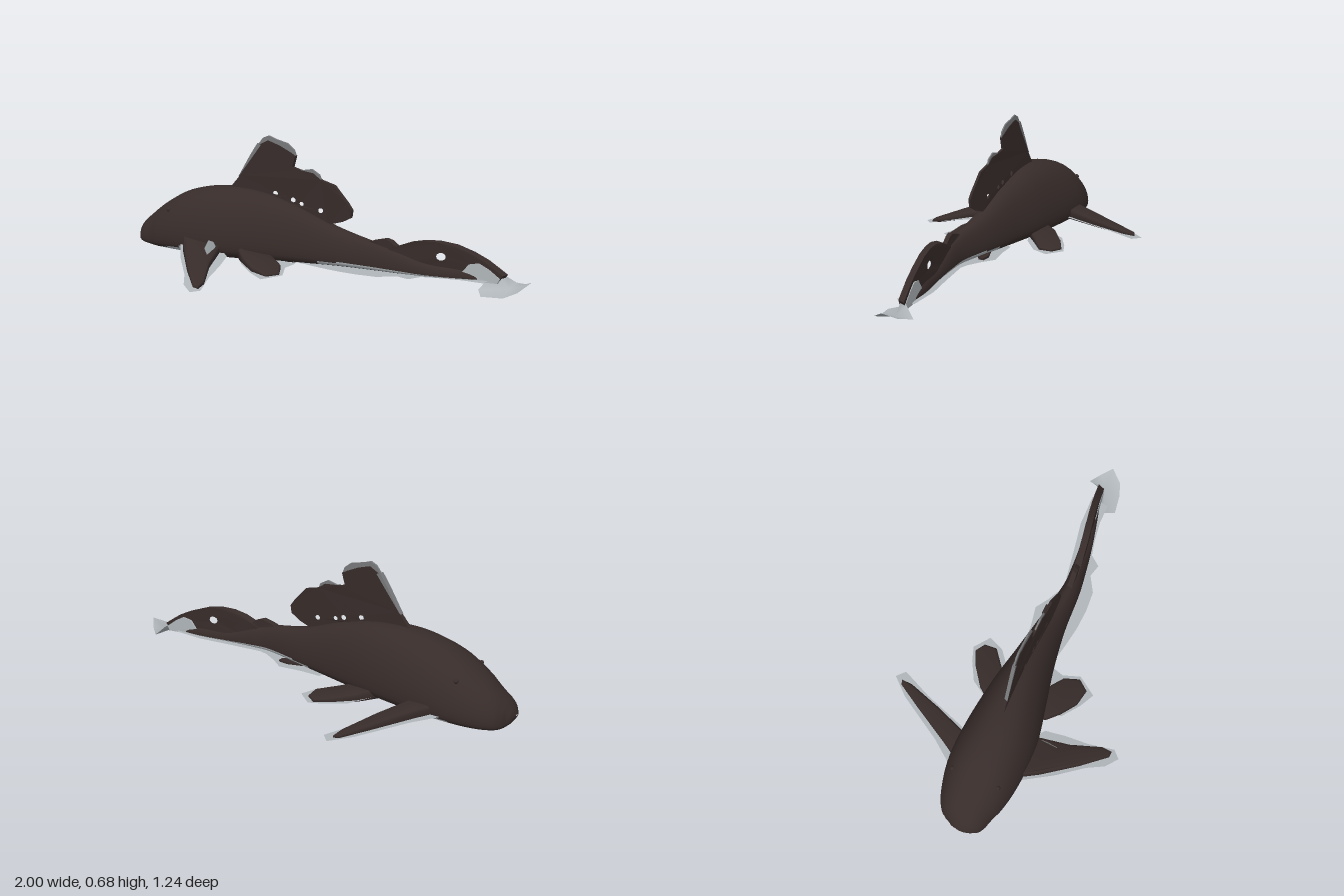
import * as THREE from 'three';
import { toCreasedNormals } from 'three/addons/utils/BufferGeometryUtils.js';

// Body stations: x, z, half width, top y, bottom y
const STATIONS = [
  [-0.985, 0.345, 0.01, 0.09, 0.085], [-0.97, 0.338, 0.06, 0.122, 0.05],
  [-0.935, 0.32, 0.108, 0.168, 0.028], [-0.85, 0.268, 0.157, 0.25, 0.02],
  [-0.7, 0.205, 0.19, 0.343, 0.02], [-0.5, 0.13, 0.188, 0.39, 0.02],
  [-0.3, 0.04, 0.153, 0.385, 0.025], [-0.1, -0.045, 0.108, 0.33, 0.035],
  [0.1, -0.125, 0.074, 0.252, 0.05], [0.3, -0.195, 0.05, 0.205, 0.06],
  [0.42, -0.255, 0.041, 0.17, 0.06], [0.55, -0.33, 0.034, 0.125, 0.06],
  [0.7, -0.43, 0.028, 0.115, 0.06], [0.85, -0.52, 0.008, 0.08, 0.07],
];

const spineZ = (x) => {
  let i = 0;
  while (i < STATIONS.length - 2 && x > STATIONS[i + 1][0]) i++;
  const [a, b] = [STATIONS[i], STATIONS[i + 1]];
  return a[1] + (b[1] - a[1]) * (x - a[0]) / (b[0] - a[0]);
};

const spine = new THREE.CatmullRomCurve3(STATIONS.map((s) => new THREE.Vector3(s[0], 0, s[1])), false, 'catmullrom');
const sizes = new THREE.CatmullRomCurve3(STATIONS.map((s) => new THREE.Vector3(s[2], s[3], s[4])), false, 'catmullrom');

// Point on the skin: u along the spine, angle around it (0 = +z side, PI/2 = back)
function skin(u, angle) {
  const p = spine.getPoint(u), d = spine.getTangent(u), k = sizes.getPoint(u);
  const c = Math.cos(angle), s = Math.sin(angle), h = k.y - k.z;
  const side = Math.max(k.x, 0.004) * Math.sign(c) * Math.abs(c) ** 0.9;
  const y = s >= 0 ? k.z + h * (0.26 + 0.74 * s ** 1.12) : k.z + 0.26 * h * (1 - (-s) ** 0.7);
  return new THREE.Vector3(p.x - d.z * side, y, p.z + d.x * side);
}

function bodyGeometry() {
  const rows = 78, cols = 40, pos = [], dark = [], pale = [];
  for (let i = 0; i <= rows; i++)
    for (let j = 0; j < cols; j++) pos.push(...skin(i / rows, (j / cols) * Math.PI * 2).toArray());
  for (let i = 0; i < rows; i++) {
    const x = spine.getPoint(i / rows).x;
    // Pale lower flank, tapered in behind the mouth and along the tail
    const taper = x < -0.5 ? 0.2 + 2.2 * Math.abs(x + 0.68) : 0.2 + Math.max(0, 0.12 - x) * 2;
    const inBand = (x > -0.84 && x < -0.54) || (x > 0 && x < 0.8);
    for (let j = 0; j < cols; j++) {
      const a = i * cols + j, c = i * cols + (j + 1) % cols;
      const s = Math.sin(((j + 0.5) / cols) * Math.PI * 2);
      (inBand && s < -taper && s > -0.75 ? pale : dark).push(a, a + cols, c, a + cols, c + cols, c);
    }
  }
  const g = new THREE.BufferGeometry();
  g.setAttribute('position', new THREE.Float32BufferAttribute(pos, 3));
  g.setIndex([...dark, ...pale]);
  g.addGroup(0, dark.length, 0);
  g.addGroup(dark.length, pale.length, 1);
  g.computeVertexNormals();
  return g;
}

const shapeOf = (pts) => new THREE.Shape(pts.map((p) => new THREE.Vector2(...p)));

// Smooth curled sheet: a fan of triangles from a centre to a closed rim
function fanSheet(centre, rim) {
  const g = new THREE.BufferGeometry();
  g.setAttribute('position', new THREE.Float32BufferAttribute([centre, ...rim].flat(), 3));
  g.setIndex(rim.flatMap((_, i) => [0, (i + 1) % rim.length + 1, i + 1]));
  g.computeVertexNormals();
  return g;
}

// Upright fin standing on the spine; points are x, y; holes are x, y, radius
function uprightFin(pts, depth, holes = []) {
  const shape = shapeOf(pts);
  for (const [x, y, r] of holes) shape.holes.push(new THREE.Path().absarc(x, y, r, 0, Math.PI * 2, true));
  const g = new THREE.ExtrudeGeometry(shape, { depth, bevelEnabled: false, curveSegments: 5 });
  const p = g.attributes.position;
  for (let i = 0; i < p.count; i++) p.setZ(i, p.getZ(i) - depth / 2 + spineZ(p.getX(i)));
  g.computeVertexNormals();
  return g;
}

// Lay a geometry drawn in (x, -z) flat, then slope it from root [x, z, y, thickness] to tip
function layFin(g, root, tip) {
  g.rotateX(-Math.PI / 2);
  const p = g.attributes.position;
  const dx = tip[0] - root[0], dz = tip[1] - root[1];
  for (let i = 0; i < p.count; i++) {
    const t = THREE.MathUtils.clamp(((p.getX(i) - root[0]) * dx + (p.getZ(i) - root[1]) * dz) / (dx * dx + dz * dz), 0, 1);
    p.setY(i, root[2] + (tip[2] - root[2]) * t + p.getY(i) * (root[3] + (tip[3] - root[3]) * t));
  }
  g.computeVertexNormals();
  return g;
}
const flip = (pts) => pts.map(([x, z]) => [x, -z]);

// Paired fins: dark fleshy ray over a wider pale web
const PAIRED = {
  rightPectoralFin: {
    root: [-0.68, 0.02, 0.08, 0.045], tip: [-0.67, -0.49, 0.065, 0.012],
    dark: [[-0.76, 0.08], [-0.74, -0.05], [-0.71, -0.3], [-0.69, -0.44], [-0.67, -0.46], [-0.65, -0.4], [-0.635, -0.2], [-0.63, 0.06]],
    pale: [[-0.8, 0.06], [-0.76, -0.1], [-0.72, -0.38], [-0.68, -0.5], [-0.625, -0.48], [-0.63, -0.3], [-0.61, 0.04]],
  },
  leftPectoralFin: {
    root: [-0.54, 0.32, 0.095, 0.05], tip: [-0.13, 0.6, 0.006, 0.012],
    dark: [[-0.6, 0.34], [-0.5, 0.41], [-0.32, 0.51], [-0.17, 0.58], [-0.14, 0.57], [-0.16, 0.52], [-0.28, 0.4], [-0.38, 0.26]],
    pale: [[-0.6, 0.36], [-0.45, 0.46], [-0.3, 0.54], [-0.22, 0.6], [-0.14, 0.62], [-0.12, 0.57], [-0.2, 0.46], [-0.26, 0.35], [-0.32, 0.26], [-0.4, 0.24]],
  },
  rightPelvicFin: {
    root: [-0.4, -0.05, 0.055, 0.04], tip: [-0.22, -0.32, 0.038, 0.012],
    dark: [[-0.43, -0.04], [-0.4, -0.15], [-0.34, -0.25], [-0.28, -0.32], [-0.22, -0.31], [-0.19, -0.25], [-0.24, -0.16], [-0.3, -0.04]],
    pale: [[-0.42, -0.08], [-0.4, -0.2], [-0.33, -0.29], [-0.27, -0.345], [-0.17, -0.32], [-0.17, -0.23], [-0.23, -0.12], [-0.3, -0.06]],
  },
  leftPelvicFin: {
    root: [-0.28, 0.16, 0.07, 0.045], tip: [0, 0.22, 0.035, 0.014],
    dark: [[-0.32, 0.15], [-0.28, 0.22], [-0.2, 0.25], [-0.1, 0.27], [-0.01, 0.25], [0.01, 0.18], [-0.05, 0.12], [-0.2, 0.09]],
    pale: [[-0.29, 0.17], [-0.2, 0.26], [-0.09, 0.285], [0, 0.29], [0.025, 0.17], [-0.04, 0.1], [-0.05, 0.02], [-0.16, 0.08]],
  },
};

export function createModel() {
  const model = new THREE.Group();
  const material = (name, color, side = THREE.FrontSide) => new THREE.MeshStandardMaterial({ name, color, side });
  const brown = material('dark brown skin', 0x372c2a);
  const pale = material('pale grey web', 0xb0b6ba, THREE.DoubleSide);
  const grey = material('mid grey fin edge', 0x77787a, THREE.DoubleSide);
  const add = (name, geometry, mat, parent = model) => {
    const mesh = new THREE.Mesh(geometry, mat);
    mesh.name = name;
    parent.add(mesh);
    return mesh;
  };

  add('body', bodyGeometry(), [brown, pale]);

  // Small raised eyes high on the head
  for (const [name, angle] of [['leftEye', 0.85], ['rightEye', Math.PI - 0.85]]) {
    const eye = add(name, new THREE.SphereGeometry(0.012, 14, 10), brown);
    eye.position.copy(skin(3.6 / 13, angle));
  }

  // Dorsal fin with a ragged edge and a row of gaps near its base
  add('dorsalFin', uprightFin([
    [-0.47, 0.36], [-0.46, 0.395], [-0.41, 0.46], [-0.35, 0.57], [-0.31, 0.63], [-0.26, 0.66], [-0.2, 0.64],
    [-0.14, 0.61], [-0.115, 0.595], [-0.13, 0.535], [-0.1, 0.525], [-0.02, 0.515], [0.02, 0.485], [0.09, 0.465],
    [0.12, 0.43], [0.16, 0.385], [0.185, 0.35], [0.18, 0.31], [0.13, 0.28], [0.06, 0.255], [0.05, 0.2], [-0.3, 0.3],
  ], 0.016, [[-0.22, 0.385, 0.013], [-0.125, 0.362, 0.013], [-0.08, 0.347, 0.011], [0.022, 0.325, 0.013]]), brown);
  add('dorsalFinTip', uprightFin([
    [-0.32, 0.625], [-0.29, 0.67], [-0.26, 0.685], [-0.22, 0.67], [-0.16, 0.655], [-0.125, 0.625],
    [-0.115, 0.595], [-0.14, 0.605], [-0.2, 0.632], [-0.26, 0.652]], 0.009), grey);
  add('dorsalFinRearEdge', uprightFin([[-0.1, 0.52], [-0.03, 0.535], [0.01, 0.51], [0.02, 0.48], [-0.02, 0.51]], 0.009), grey);
  add('dorsalFinFrontEdge', uprightFin([[-0.42, 0.45], [-0.355, 0.572], [-0.315, 0.64], [-0.298, 0.63], [-0.345, 0.56]], 0.02), grey);

  // Low second dorsal fin
  add('adiposeFin', uprightFin([[0.24, 0.18], [0.3, 0.212], [0.36, 0.23], [0.385, 0.22], [0.42, 0.19], [0.43, 0.15]], 0.03), brown);

  // Tail fin: thick upright blade with one gap and pale lower cheeks
  add('tailFin', toCreasedNormals(uprightFin([
    [0.36, 0.08], [0.38, 0.18], [0.42, 0.2], [0.47, 0.225], [0.53, 0.24], [0.59, 0.242], [0.66, 0.23], [0.73, 0.2],
    [0.79, 0.165], [0.84, 0.125], [0.87, 0.1], [0.85, 0.065], [0.6, 0.065],
  ], 0.04, [[0.612, 0.17, 0.02]]), 0.6), brown);
  add('tailFinCheeks', uprightFin([
    [0.66, 0.06], [0.7, 0.1], [0.73, 0.145], [0.77, 0.155], [0.81, 0.13], [0.86, 0.085], [0.85, 0.06]], 0.048), pale);

  // Flared, cupped web at the tail end
  add('tailEndWeb', fanSheet([0.9, 0.04, -0.53], [
    [0.8, 0.07, -0.48], [0.84, 0.11, -0.505], [0.86, 0.085, -0.56], [0.87, 0.045, -0.62], [0.94, 0.06, -0.6], [1, 0.09, -0.57],
    [0.98, 0.05, -0.49], [0.93, 0.02, -0.445], [0.84, 0.017, -0.39], [0.79, 0.03, -0.43]]), pale);

  // Ragged web spread along the underside of the tail
  add('tailWeb', layFin(new THREE.ShapeGeometry(shapeOf(flip([
    [-0.08, -0.16], [0.02, -0.21], [0.12, -0.275], [0.2, -0.26], [0.28, -0.255], [0.33, -0.265], [0.5, -0.37], [0.64, -0.46],
    [0.8, -0.53], [0.82, -0.43], [0.72, -0.39], [0.62, -0.33], [0.55, -0.28], [0.53, -0.21], [0.46, -0.2], [0.4, -0.12],
    [0.3, -0.07], [0.2, -0.035], [0.1, -0.01], [0, 0.01], [-0.06, 0.03]]))), [0, 0, 0.055, 1], [0.8, -0.5, 0.07, 1]), pale);
  add('analFin', layFin(new THREE.ExtrudeGeometry(shapeOf(flip([[0.06, -0.17], [0.12, -0.225], [0.17, -0.245], [0.18, -0.22], [0.14, -0.16]])),
    { depth: 0.012, bevelEnabled: false }), [0, 0, 0.055, 1], [0.8, -0.5, 0.065, 1]), brown);

  for (const [name, f] of Object.entries(PAIRED)) {
    const fin = new THREE.Group();
    fin.name = name;
    model.add(fin);
    const ray = new THREE.ExtrudeGeometry(shapeOf(flip(f.dark)),
      { depth: 0.6, bevelThickness: 0.4, bevelSize: 0.012, bevelOffset: -0.012, bevelSegments: 2 });
    add('finRay', toCreasedNormals(layFin(ray, f.root, f.tip), 0.9), brown, fin);
    add('finWeb', layFin(new THREE.ShapeGeometry(shapeOf(flip(f.pale))), f.root, f.tip), pale, fin);
  }

  // Pale fold of web standing at the trailing edge of the left pectoral fin
  add('pectoralFold', fanSheet([-0.36, 0.12, 0.33], [
    [-0.37, 0.09, 0.28], [-0.38, 0.14, 0.3], [-0.37, 0.16, 0.34], [-0.35, 0.13, 0.38], [-0.34, 0.09, 0.37]]), pale);
  return model;
}
